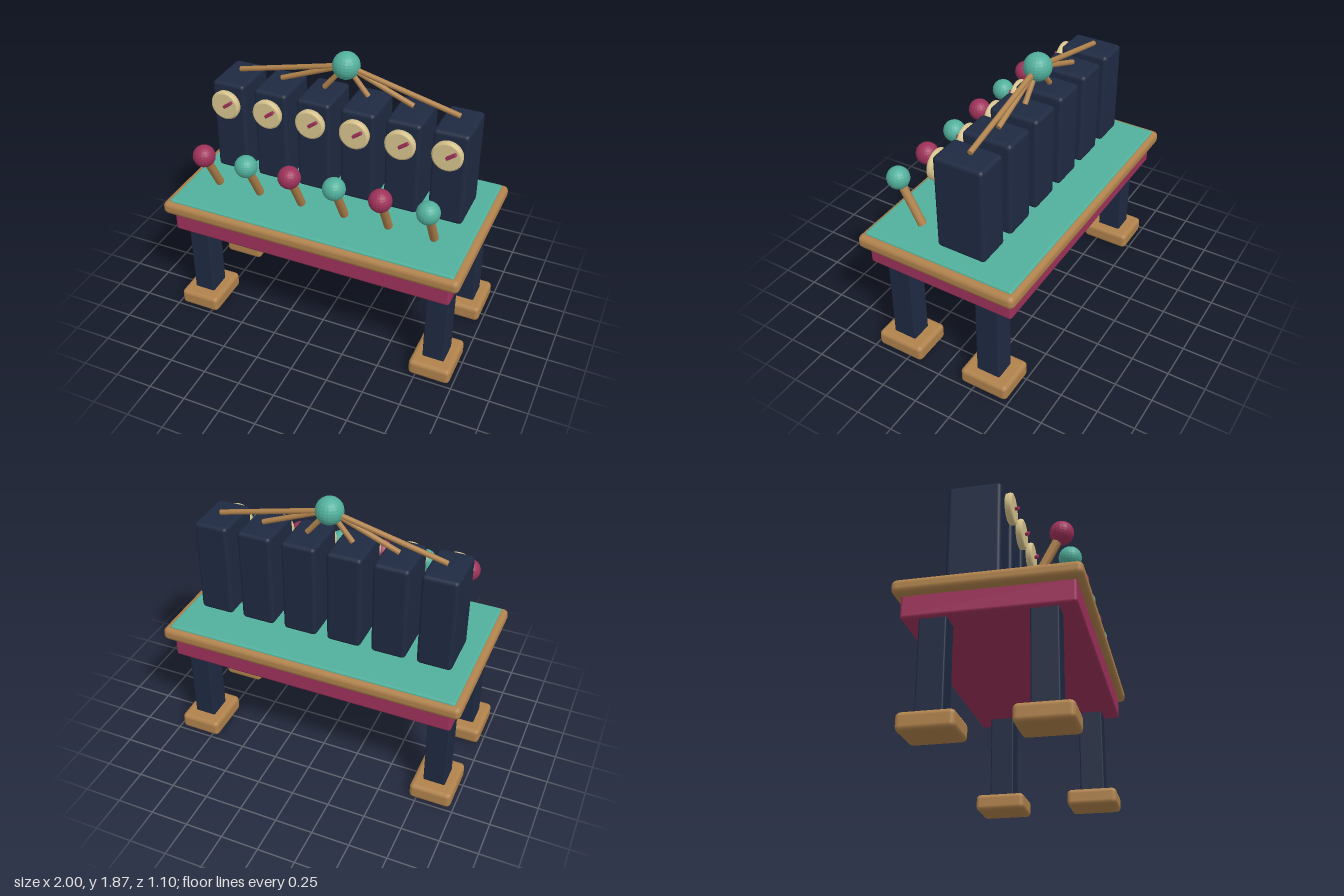
import * as THREE from 'three';
import { RoundedBoxGeometry } from 'three/addons/geometries/RoundedBoxGeometry.js';

const paint = (color, flatShading = false) => new THREE.MeshStandardMaterial({ color, flatShading });
const navy = paint(0x1f2a42);
const wood = paint(0xb0824c);
const crimson = paint(0x9e325a);
const teal = paint(0x52b09c);
const cream = paint(0xd8c48e);
const crimsonBall = paint(0x9e325a, true);
const tealBall = paint(0x52b09c, true);

function add(parent, name, geometry, material, x = 0, y = 0, z = 0) {
  const mesh = new THREE.Mesh(geometry, material);
  mesh.name = name;
  mesh.position.set(x, y, z);
  parent.add(mesh);
  return mesh;
}

// Rounded box centred on x and z, spanning y0 to y1
function block(parent, name, material, [w, d], [y0, y1], radius, x = 0, z = 0) {
  return add(parent, name, new RoundedBoxGeometry(w, y1 - y0, d, 2, radius), material, x, (y0 + y1) / 2, z);
}

// Round rod between two points
function rod(parent, name, from, to, radius) {
  const dir = to.clone().sub(from);
  const mesh = add(parent, name, new THREE.CylinderGeometry(radius, radius, dir.length(), 16), wood);
  mesh.position.copy(from).add(to).multiplyScalar(0.5);
  mesh.quaternion.setFromUnitVectors(new THREE.Vector3(0, 1, 0), dir.normalize());
  return mesh;
}

// Disc with a softened rim, facing +z
function discGeometry(radius, depth, bevel) {
  const h = depth / 2, r = radius - bevel;
  const profile = [new THREE.Vector2(0, -h), new THREE.Vector2(r, -h)];
  for (let i = 0; i <= 4; i++) {
    const a = -Math.PI / 2 + (i / 4) * Math.PI;
    const side = Math.sin(a) < 0 ? -1 : 1;
    profile.push(new THREE.Vector2(r + bevel * Math.cos(a), side * (h - bevel) + bevel * Math.sin(a)));
  }
  profile.push(new THREE.Vector2(r, h), new THREE.Vector2(0, h));
  return new THREE.LatheGeometry(profile, 32).rotateX(Math.PI / 2);
}

export function createModel() {
  const model = new THREE.Group();
  model.name = 'leverConsole';

  // Table
  const table = new THREE.Group();
  table.name = 'table';
  model.add(table);
  block(table, 'tabletop', wood, [2, 1.1], [0.814, 0.904], 0.035);
  block(table, 'tableSurface', teal, [1.915, 1.035], [0.87, 0.918], 0.015);
  block(table, 'apron', crimson, [1.88, 1.01], [0.678, 0.84], 0.018);
  for (const sx of [-1, 1]) {
    for (const sz of [-1, 1]) {
      block(table, 'leg', navy, [0.145, 0.163], [0.07, 0.72], 0.01, sx * 0.84, sz * 0.318);
      block(table, 'foot', wood, [0.278, 0.334], [0, 0.112], 0.03, sx * 0.84, sz * 0.318);
    }
  }

  // Row of six cabinets, each with a dial, a lever and a strut to the hub
  const hub = new THREE.Vector3(0, 1.778, -0.127);
  const dial = discGeometry(0.099, 0.044, 0.014);
  const knob = new THREE.SphereGeometry(0.072, 20, 14);
  for (let i = 0; i < 6; i++) {
    const x = (i - 2.5) * 0.2965;
    const unit = new THREE.Group();
    unit.name = 'unit' + (i + 1);
    model.add(unit);

    block(unit, 'cabinet', navy, [0.225, 0.33], [0.938, 1.577], 0.025, x, -0.111);
    add(unit, 'dial', dial, cream, x, 1.445, 0.089);
    const pointer = add(unit, 'pointer', new RoundedBoxGeometry(0.072, 0.02, 0.022, 2, 0.004),
      crimson, x + 0.03, 1.465, 0.12);
    pointer.rotation.z = 0.64;

    const top = new THREE.Vector3(x, 1.237, 0.394);
    rod(unit, 'leverShaft', new THREE.Vector3(x, 0.946, 0.239), top, 0.028);
    add(unit, 'leverKnob', knob, i % 2 ? tealBall : crimsonBall, top.x, top.y, top.z);

    rod(unit, 'strut', new THREE.Vector3(x, 1.598, -0.127), hub, 0.017);
  }

  // Ball joining the struts
  add(model, 'hubBall', new THREE.SphereGeometry(0.088, 20, 14), tealBall, hub.x, hub.y, hub.z);

  return model;
}
